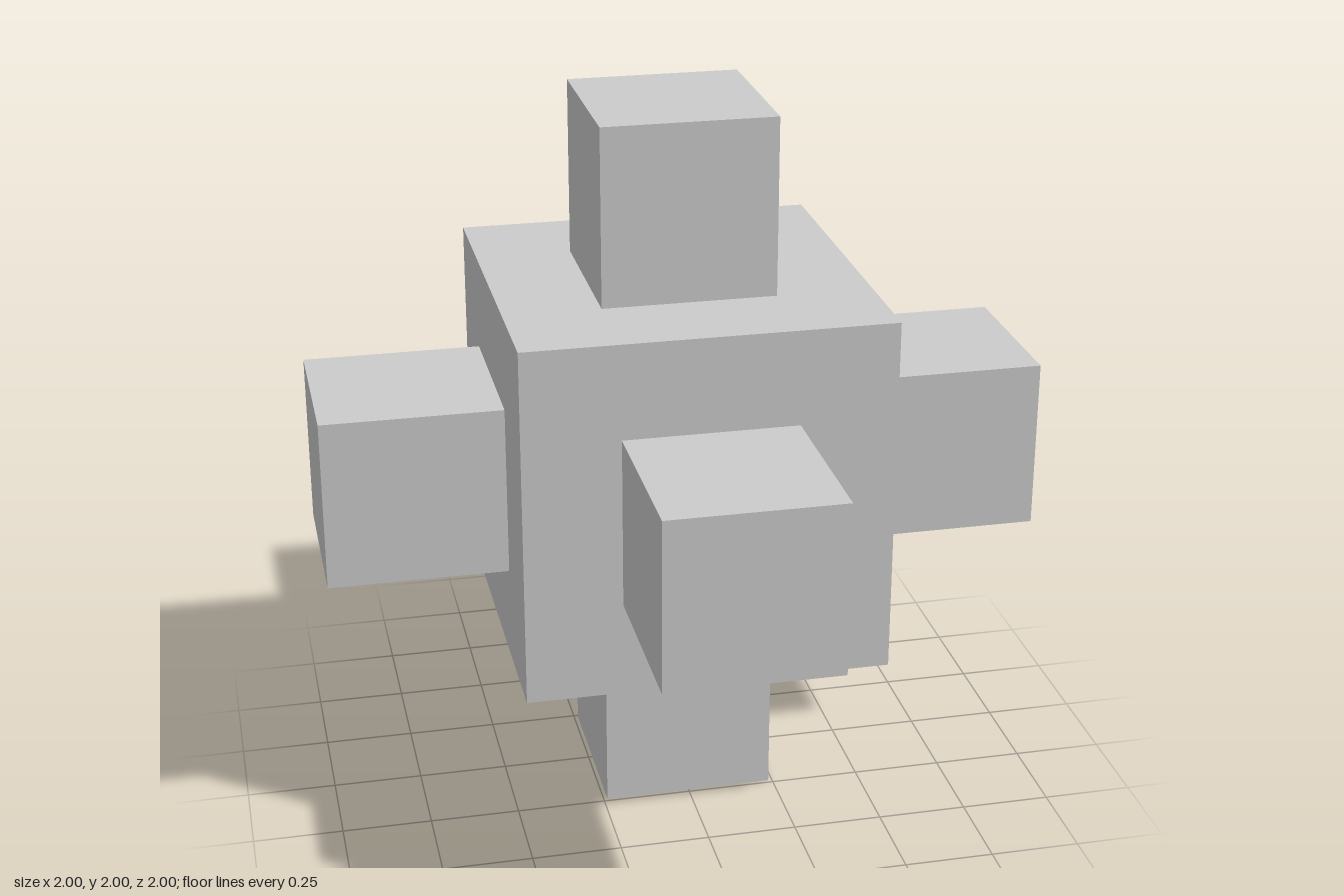
import * as THREE from 'three';

const CORE = 1.01; // edge of the central cube
const ARM = 0.478; // width of each arm
const REACH = 1; // distance from centre to arm tip

export function createModel() {
  const model = new THREE.Group();
  model.name = 'sixArmedCube';
  const material = new THREE.MeshStandardMaterial({ color: 0xcccccc, flatShading: true });

  // Central cube
  const core = new THREE.Mesh(new THREE.BoxGeometry(CORE, CORE, CORE), material);
  core.name = 'core';
  core.position.y = REACH;
  model.add(core);

  // One square arm centred on each face of the cube
  const length = REACH - CORE / 2;
  const armGeometry = new THREE.BoxGeometry(ARM, length, ARM);
  const up = new THREE.Vector3(0, 1, 0);
  const directions = {
    topArm: [0, 1, 0],
    bottomArm: [0, -1, 0],
    leftArm: [1, 0, 0],
    rightArm: [-1, 0, 0],
    frontArm: [0, 0, 1],
    backArm: [0, 0, -1],
  };
  for (const [name, d] of Object.entries(directions)) {
    const direction = new THREE.Vector3(...d);
    const arm = new THREE.Mesh(armGeometry, material);
    arm.name = name;
    arm.quaternion.setFromUnitVectors(up, direction);
    arm.position.copy(core.position).addScaledVector(direction, CORE / 2 + length / 2);
    model.add(arm);
  }

  return model;
}
